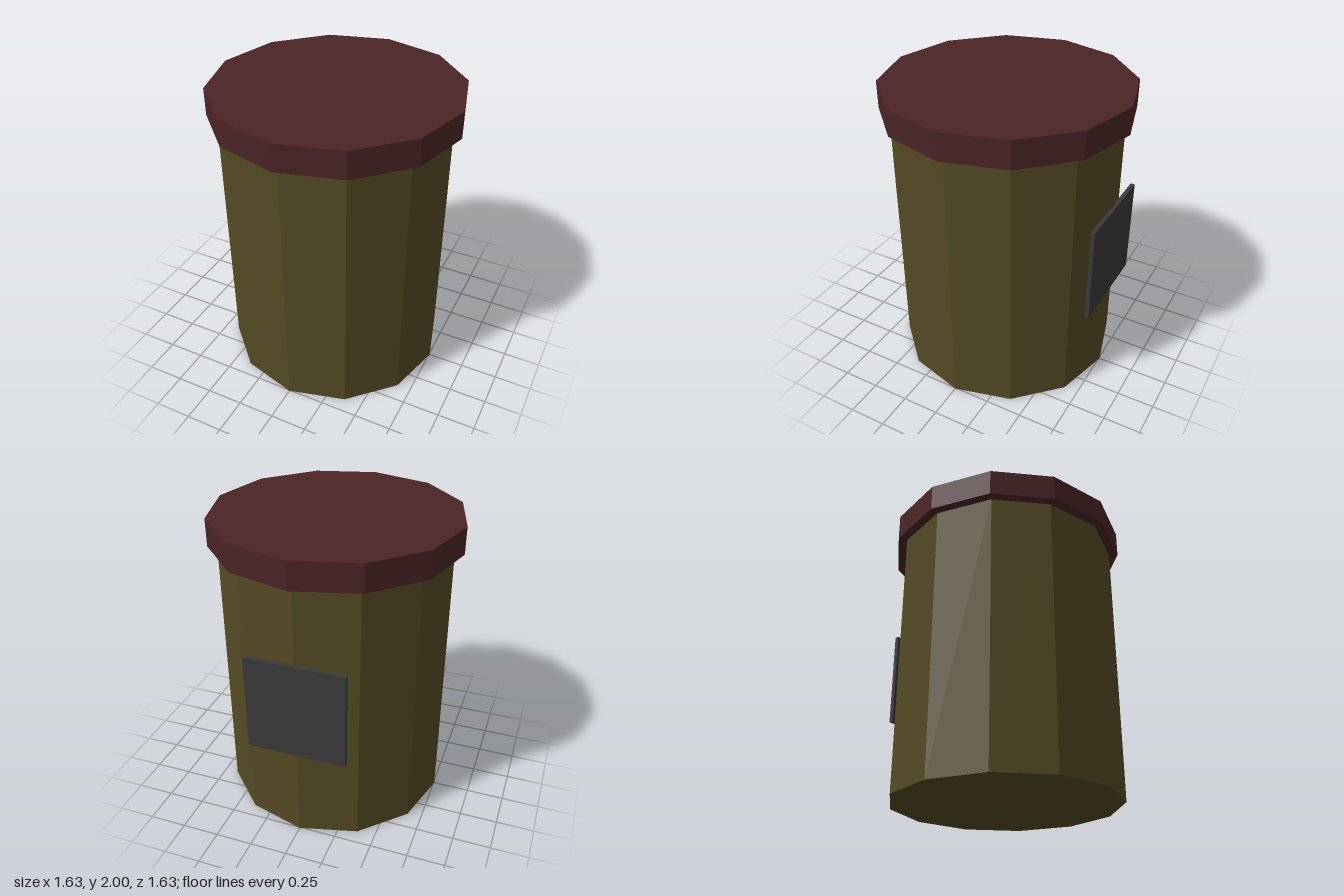
import * as THREE from 'three';

const SIDES = 12;

function makeMaterial(name, color) {
  const material = new THREE.MeshStandardMaterial({ color, flatShading: true });
  material.name = name;
  return material;
}

// Adds a mesh centred on x with its base at the given height.
function addPart(group, name, geometry, material, bottom, z = 0) {
  geometry.computeBoundingBox();
  const mesh = new THREE.Mesh(geometry, material);
  mesh.name = name;
  mesh.position.set(0, bottom - geometry.boundingBox.min.y, z);
  group.add(mesh);
}

export function createModel() {
  const group = new THREE.Group();
  group.name = 'lidded canister';

  const olive = makeMaterial('olive', 0x554a24);
  const maroon = makeMaterial('maroon', 0x4b2425);
  const charcoal = makeMaterial('charcoal', 0x3a3a3a);

  // Twelve-sided body and overhanging lid, corners on the axes
  addPart(group, 'body', new THREE.CylinderGeometry(0.756, 0.756, 1.82, SIDES), olive, 0);
  addPart(group, 'lid', new THREE.CylinderGeometry(0.817, 0.817, 0.18, SIDES), maroon, 1.82);

  // Flat blank plate on the back
  addPart(group, 'backPlate', new THREE.BoxGeometry(0.66, 0.66, 0.028), charcoal, 0.64, -0.758);

  return group;
}
